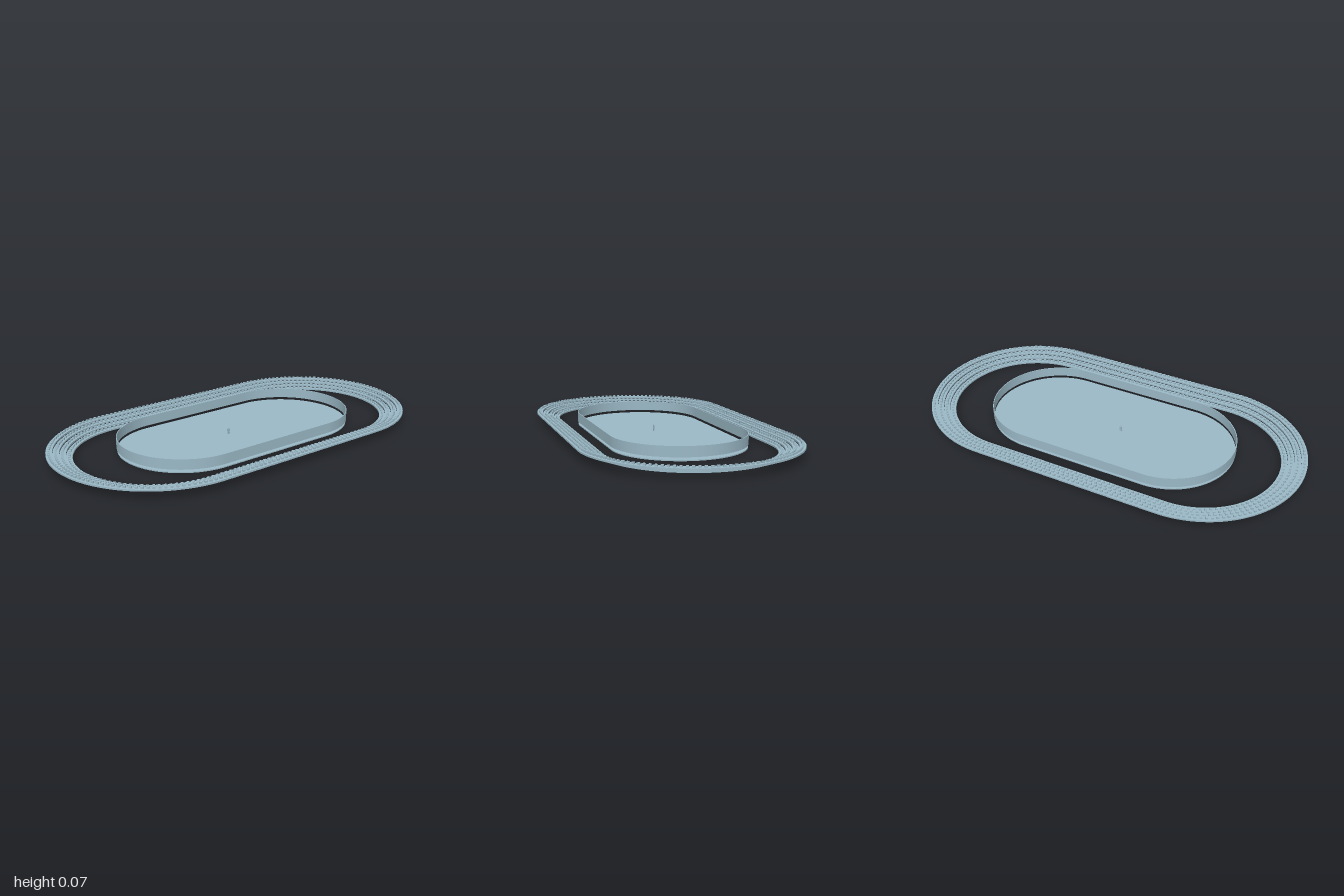
import * as THREE from 'three';
import { mergeGeometries } from 'three/addons/utils/BufferGeometryUtils.js';

// Oval outline: two straights of half length h joined by half circles of radius r
function oval(PathType, h, r) {
  const p = new PathType();
  p.moveTo(-h, -r);
  p.lineTo(h, -r);
  p.absarc(h, 0, r, -Math.PI / 2, Math.PI / 2, false);
  p.lineTo(-h, r);
  p.absarc(-h, 0, r, Math.PI / 2, Math.PI * 1.5, false);
  return p;
}

// Flat oval slab, with an oval hole when inner is above zero
function ovalSlab(h, outer, inner, y, height) {
  const shape = oval(THREE.Shape, h, outer);
  if (inner > 0) shape.holes.push(oval(THREE.Path, h, inner));
  const geo = new THREE.ExtrudeGeometry(shape, { depth: height, bevelEnabled: false, curveSegments: 40 });
  geo.rotateX(-Math.PI / 2);
  geo.translate(0, y, 0);
  return geo;
}

// Position and heading at distance d along an oval
function ovalPoint(h, r, d) {
  const arc = Math.PI * r, half = 2 * h + arc;
  const flip = d >= half ? -1 : 1;
  const s = d % half;
  let x, z, turn;
  if (s < 2 * h) {
    x = -h + s; z = r; turn = 0;
  } else {
    turn = (s - 2 * h) / r;
    x = h + r * Math.sin(turn); z = r * Math.cos(turn);
  }
  return { x: x * flip, z: z * flip, turn: flip > 0 ? turn : turn + Math.PI };
}

export function createModel() {
  const model = new THREE.Group();
  const paleBlue = new THREE.MeshStandardMaterial({ color: 0x9ab8c5 });
  paleBlue.name = 'paleBlue';

  const add = (name, geo, parent = model) => {
    const mesh = new THREE.Mesh(geo, paleBlue);
    mesh.name = name;
    parent.add(mesh);
    return mesh;
  };

  // Rink floor and the raised board around it
  add('rinkFloor', ovalSlab(0.322, 0.328, 0, 0, 0.005));
  add('rinkBoard', ovalSlab(0.322, 0.331, 0.327, 0.018, 0.05));

  // Four rising tiers, each with a row of seats
  const stands = new THREE.Group();
  stands.name = 'stands';
  model.add(stands);
  const h = 0.478;
  for (let i = 0; i < 4; i++) {
    const inner = 0.4 + i * 0.0305, y = 0.009 + i * 0.011;
    add('tier' + (i + 1), ovalSlab(h, inner + 0.0305, inner, y, 0.008), stands);

    const r = inner + 0.0155;
    const length = 4 * h + 2 * Math.PI * r;
    const count = Math.round(length / 0.025);
    const seats = [];
    for (let k = 0; k < count; k++) {
      const p = ovalPoint(h, r, (k + 0.5) * length / count);
      const seat = new THREE.BoxGeometry(0.012, 0.009, 0.01);
      seat.rotateY(p.turn);
      seat.translate(p.x, y + 0.0125, p.z);
      seats.push(seat);
    }
    add('seats' + (i + 1), mergeGeometries(seats), stands);
  }

  // Small skater on the ice
  const skater = new THREE.Group();
  skater.name = 'skater';
  skater.position.set(-0.052, 0.005, 0);
  model.add(skater);
  for (const side of [-1, 1]) {
    const leg = add('leg', new THREE.BoxGeometry(0.004, 0.014, 0.005), skater);
    leg.position.set(side * 0.004, 0.007, 0);
    leg.rotation.z = side * 0.2;
  }
  add('torso', new THREE.BoxGeometry(0.011, 0.013, 0.007), skater).position.y = 0.02;
  add('head', new THREE.SphereGeometry(0.004, 10, 8), skater).position.y = 0.03;

  return model;
}
